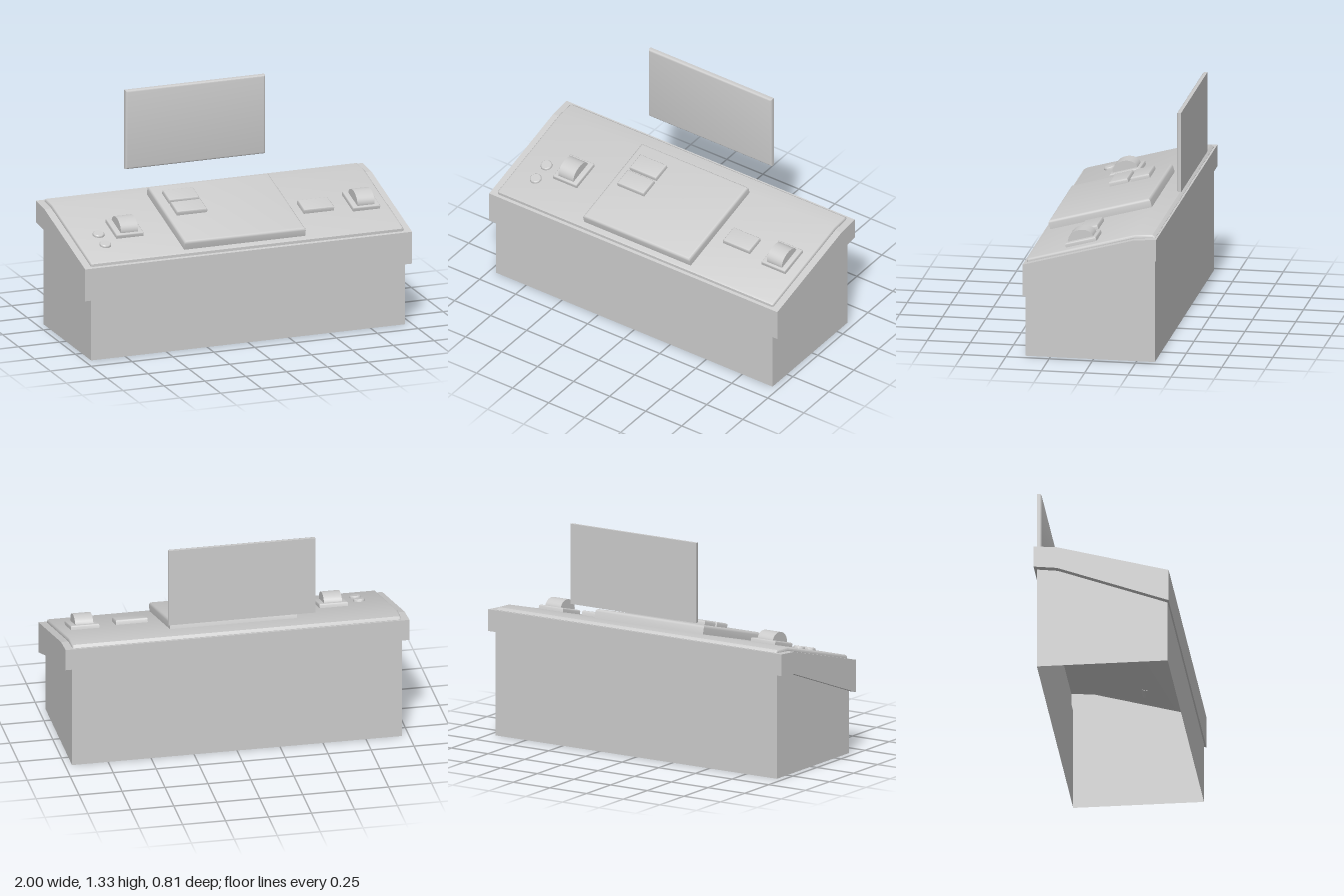
import * as THREE from 'three';
import { toCreasedNormals } from 'three/addons/utils/BufferGeometryUtils.js';

const grey = new THREE.MeshStandardMaterial({ color: 0xcccccc });
const greyShell = new THREE.MeshStandardMaterial({ color: 0xcccccc, side: THREE.DoubleSide, flatShading: true });

function add(parent, name, geometry, x = 0, y = 0, z = 0, material = grey) {
  const mesh = new THREE.Mesh(geometry, material);
  mesh.name = name;
  mesh.position.set(x, y, z);
  parent.add(mesh);
  return mesh;
}

// Flat-backed plate in the xy plane with softened front edges, facing +z
function plate(w, h, t, bevel) {
  const shape = new THREE.Shape([[-1, -1], [1, -1], [1, 1], [-1, 1]]
    .map(([sx, sy]) => new THREE.Vector2(sx * w / 2, sy * h / 2)));
  const geo = new THREE.ExtrudeGeometry(shape, {
    depth: t - bevel, bevelThickness: bevel, bevelSize: bevel, bevelOffset: -bevel, bevelSegments: 3,
  });
  const p = geo.attributes.position;
  for (let i = 0; i < p.count; i++) p.setZ(i, Math.max(p.getZ(i), 0));
  return toCreasedNormals(geo, 0.6);
}

// The same plate lying down, facing up
const tile = (w, d, t, bevel) => plate(w, d, t, bevel).rotateX(-Math.PI / 2);

// Horizontal loop: +x side from front to back, then -x side from back to front
function ring(halfWidth, stations) {
  const side = (x) => stations.map(([z, y]) => [x, y, z]);
  return [...side(halfWidth), ...side(-halfWidth).reverse()];
}

// Walls between successive loops, with an optional cap over the last one
function loft(rings, cap) {
  const n = rings[0].length, index = [];
  for (let k = 0; k < rings.length - 1; k++) {
    for (let i = 0; i < n; i++) {
      const a = k * n + i, b = k * n + (i + 1) % n;
      index.push(a, b, b + n, a, b + n, a + n);
    }
  }
  if (cap) {
    const o = (rings.length - 1) * n;
    for (let i = 0; i < n / 2 - 1; i++) {
      const a = o + i, b = a + 1, c = o + n - 2 - i, d = c + 1;
      index.push(a, b, c, a, c, d);
    }
  }
  const geo = new THREE.BufferGeometry();
  geo.setAttribute('position', new THREE.Float32BufferAttribute(rings.flat(2), 3));
  geo.setIndex(index);
  const flat = geo.toNonIndexed();
  flat.computeVertexNormals();
  return flat;
}

export function createModel() {
  const model = new THREE.Group();
  model.name = 'controlConsole';

  // Hollow cabinet, open underneath, and the wider sloping rim on top
  const floor = ring(0.96, [[0.395, 0], [-0.235, 0], [-0.355, 0]]);
  const wallTop = ring(0.96, [[0.395, 0.364], [-0.235, 0.595], [-0.355, 0.609]]);
  const rimBottom = ring(1, [[0.405, 0.36], [-0.235, 0.595], [-0.37, 0.61]]);
  const rimTop = ring(1, [[0.405, 0.55], [-0.235, 0.725], [-0.37, 0.737]]);
  add(model, 'cabinet', loft([floor, wallTop]), 0, 0, 0, greyShell);
  add(model, 'rim', loft([wallTop, rimBottom, rimTop], true), 0, 0, 0, greyShell);

  // Raised panel following the rim's slope, extruded across the width
  const profile = [[0.388, 0.54], [-0.235, 0.712], [-0.358, 0.722], [-0.358, 0.738],
    [-0.34, 0.751], [-0.235, 0.745], [0.375, 0.578], [0.388, 0.57]];
  const bevel = 0.012, halfPanel = 0.957;
  const panel = new THREE.ExtrudeGeometry(
    new THREE.Shape(profile.map(([z, y]) => new THREE.Vector2(-z, y))),
    { depth: 2 * (halfPanel - bevel), bevelThickness: bevel, bevelSize: bevel, bevelOffset: -bevel, bevelSegments: 3 },
  );
  panel.rotateY(Math.PI / 2);
  add(model, 'controlPanel', toCreasedNormals(panel, 0.6), -(halfPanel - bevel), 0, 0);

  // Everything on the deck shares the panel's tilt
  const deck = new THREE.Group();
  deck.name = 'deck';
  deck.position.y = 0.681;
  deck.rotation.x = Math.atan(0.274);
  model.add(deck);

  // Central slab with two keys, and a single key on the panel
  add(deck, 'centreSlab', tile(0.74, 0.61, 0.055, 0.016), -0.005, -0.003, 0.064);
  const key = tile(0.185, 0.112, 0.03, 0.009);
  for (const z of [-0.095, 0.034]) add(deck, 'slabKey', key, -0.228, 0.048, z);
  add(deck, 'panelKey', key, 0.533, -0.003, 0.088);

  // Thumb wheels on square plates
  for (const x of [-0.635, 0.812]) {
    const wheel = new THREE.Group();
    wheel.name = 'thumbWheel';
    wheel.position.set(x, -0.003, 0.086);
    deck.add(wheel);
    add(wheel, 'wheelPlate', tile(0.165, 0.184, 0.027, 0.008));
    const dome = new THREE.CylinderGeometry(0.075, 0.075, 0.105, 32).rotateZ(Math.PI / 2).scale(1, 0.75, 1);
    add(wheel, 'wheelDome', toCreasedNormals(dome, 0.6), 0, 0.024, 0.002);
  }

  // Round push buttons
  const buttonProfile = [[0, 0.014], [0.028, 0.014], [0.032, 0.011], [0.034, 0.006], [0.034, -0.004]]
    .map(([r, y]) => new THREE.Vector2(r, y)).reverse();
  const button = toCreasedNormals(new THREE.LatheGeometry(buttonProfile, 28), 0.6);
  for (const z of [0.116, 0.227]) add(deck, 'roundButton', button, -0.805, 0, z);

  // Floating display behind the console
  add(model, 'screen', plate(0.855, 0.47, 0.027, 0.012), -0.017, 1.09, -0.41);

  return model;
}
